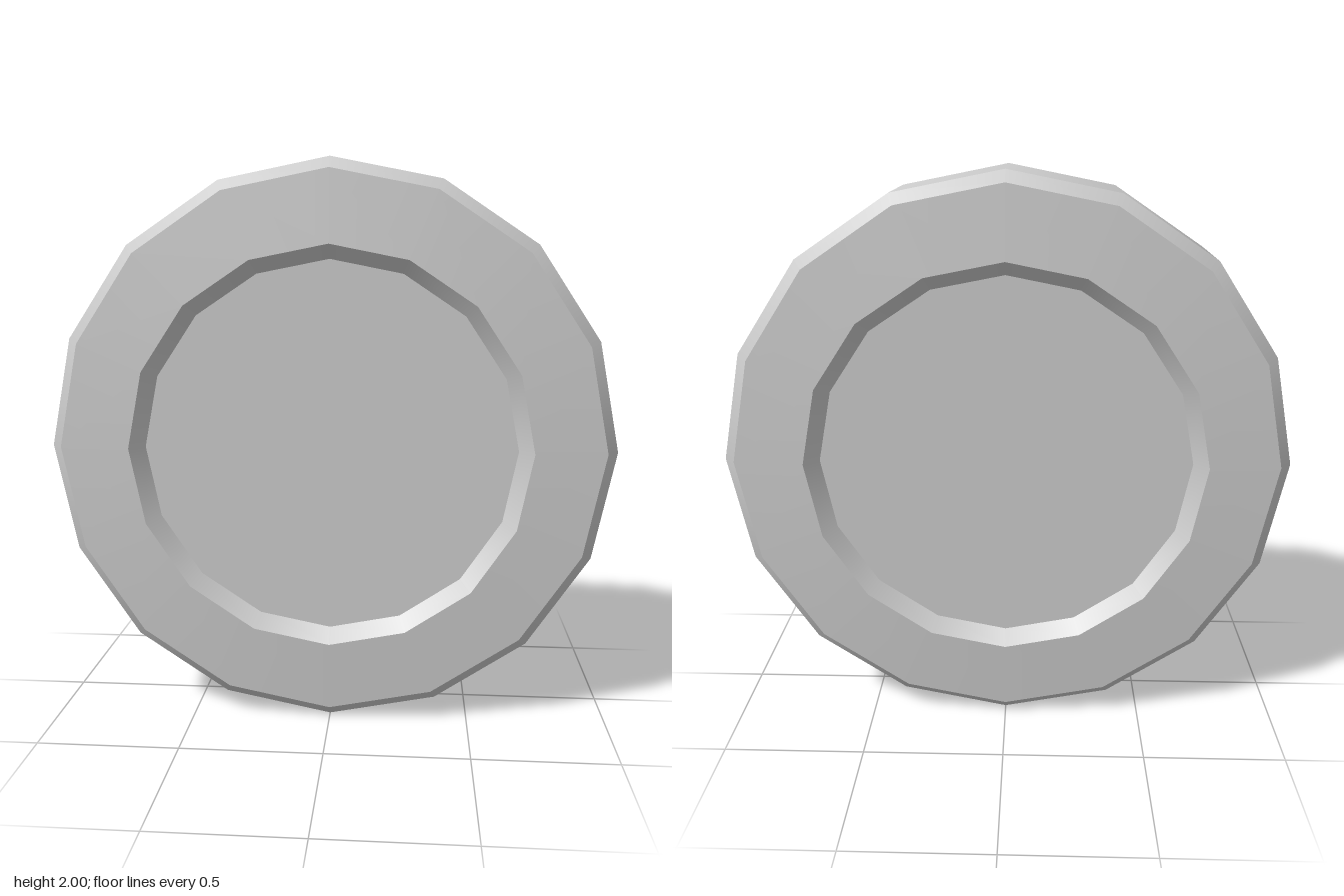
import * as THREE from 'three';

const SIDES = 16;

// Front half of the cross-section, from the centre outwards: [radius, z]
const PROFILE = [[0, 0.2], [0.66, 0.2], [0.71, 0.25], [0.96, 0.23], [1, 0.19]];
const BANDS = ['recessFloor', 'recessWall', 'sideRing', 'outerBevel'];

const material = new THREE.MeshStandardMaterial({ color: 0xcccccc });

// One ring turned about the z axis: smooth around, hard at its borders
function band(name, [r0, z0], [r1, z1]) {
  const geometry = new THREE.LatheGeometry(
    [new THREE.Vector2(r0, z0), new THREE.Vector2(r1, z1)], SIDES);
  geometry.rotateX(Math.PI / 2);
  const mesh = new THREE.Mesh(geometry, material);
  mesh.name = name;
  return mesh;
}

export function createModel() {
  const disc = new THREE.Group();
  disc.name = 'disc';

  // Front and back faces, mirrored in z
  const front = new THREE.Group();
  front.name = 'frontFace';
  BANDS.forEach((name, i) => front.add(band(name, PROFILE[i + 1], PROFILE[i])));
  const back = front.clone();
  back.name = 'backFace';
  back.rotation.y = Math.PI;

  // Outer tread joining both faces
  const [radius, edge] = PROFILE[PROFILE.length - 1];
  disc.add(front, back, band('tread', [radius, -edge], [radius, edge]));

  disc.position.y = 1;
  const model = new THREE.Group();
  model.add(disc);
  return model;
}
